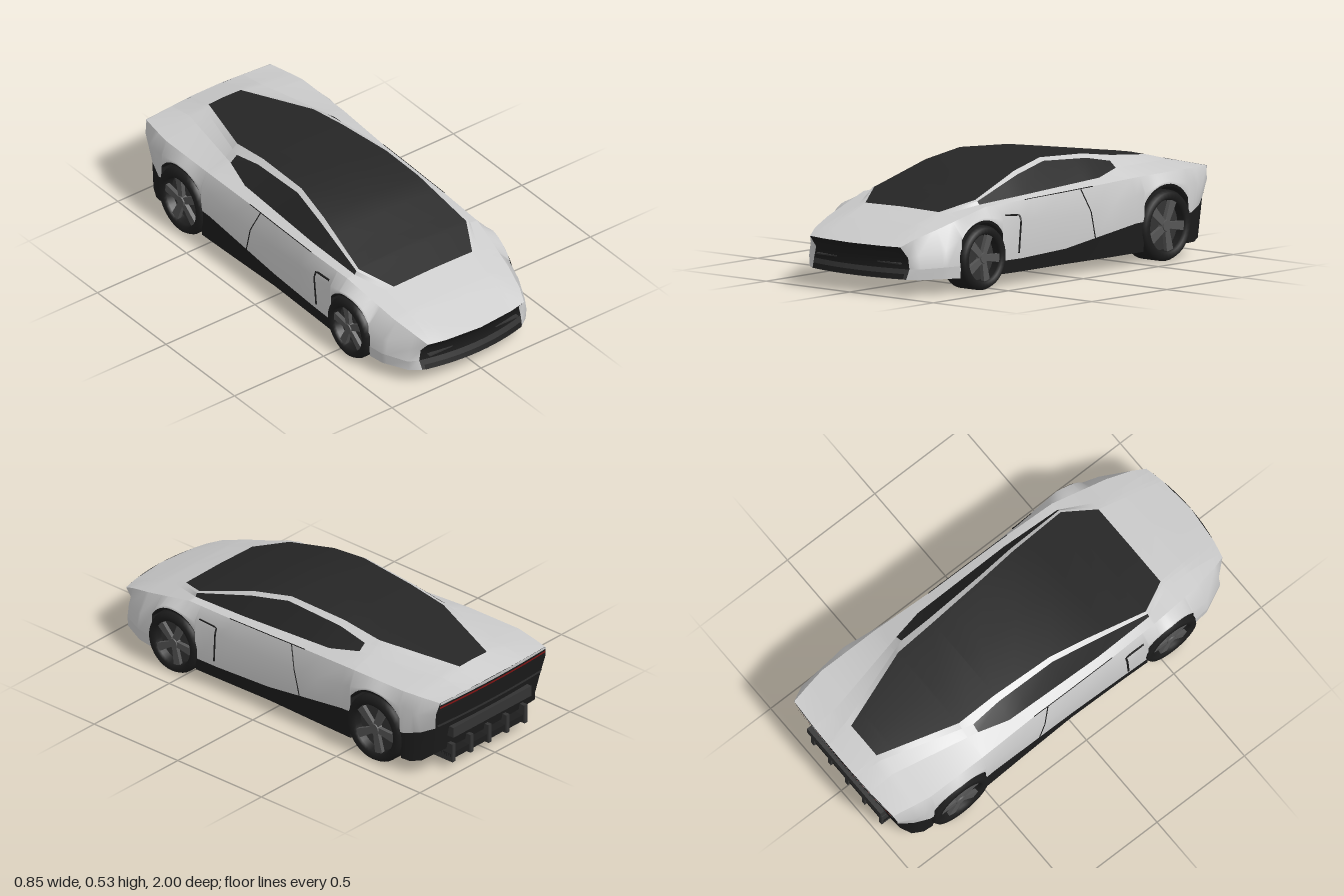
import * as THREE from 'three';
import { mergeGeometries } from 'three/addons/utils/BufferGeometryUtils.js';

const paint = (color) => new THREE.MeshStandardMaterial({ color, side: THREE.DoubleSide });
const BODY = paint(0xcccccc), GLASS = paint(0x262626), DARK = paint(0x1c1c1c), TRIM = paint(0x333333);
const RIM = paint(0x555555), RED = paint(0x8a1515);

// Long lines of the body: [z, x, y] from tail to nose
const LINES = {
  sill: [[-1, .33, .1], [-.85, .40, .065], [-.65, .415, .06], [-.3, .40, .055], [0, .39, .055], [.3, .395, .055], [.56, .405, .06], [.78, .385, .072], [1, .28, .075]],
  cladding: [[-1, .35, .25], [-.82, .41, .2], [-.65, .42, .2], [-.45, .41, .19], [0, .395, .125], [.3, .4, .115], [.56, .41, .12], [.78, .39, .125], [1, .285, .12]],
  flank: [[-1, .365, .33], [-.9, .405, .32], [-.65, .42, .355], [-.3, .405, .28], [0, .4, .27], [.3, .405, .285], [.56, .408, .325], [.78, .38, .2], [1, .275, .17]],
  shoulder: [[-1, .35, .388], [-.8, .385, .395], [-.5, .385, .393], [-.2, .375, .382], [.2, .375, .372], [.5, .365, .365], [.78, .325, .288], [1, .27, .223]],
  windowBase: [[-1, .2, .392], [-.87, .2, .413], [-.45, .29, .43], [-.3, .325, .405], [.2, .335, .385], [.5, .325, .37], [.65, .26, .337], [.8, .25, .292], [1, .25, .223]],
  windowTop: [[-1, .1, .393], [-.87, .12, .425], [-.45, .255, .458], [-.3, .25, .487], [0, .26, .507], [.2, .285, .47], [.5, .315, .385], [.65, .235, .341], [.8, .22, .295], [1, .2, .223]],
  glassEdge: [[-1, .09, .394], [-.87, .09, .426], [-.5, .215, .475], [-.3, .22, .504], [0, .238, .521], [.2, .265, .485], [.5, .302, .39], [.65, .22, .343], [.8, .2, .296], [1, .18, .223]],
  centre: [[-1, 0, .395], [-.87, 0, .429], [-.5, 0, .485], [-.3, 0, .515], [0, 0, .53], [.2, 0, .497], [.5, 0, .4], [.65, 0, .347], [.8, 0, .299], [1, 0, .223]],
};
const ARCHES = [{ z: .56, y: .145, r: .157 }, { z: -.65, y: .16, r: .176 }];
// Fore-and-aft shape of the nose by height: [y, z]
const NOSE = [[.075, .975], [.12, .96], [.17, .955], [.223, 1]];

function lerpTable(table, t) {
  let i = 1;
  while (i < table.length - 1 && t > table[i][0]) i++;
  const a = table[i - 1], b = table[i];
  const f = THREE.MathUtils.clamp((t - a[0]) / (b[0] - a[0]), 0, 1);
  return a.map((v, k) => v + (b[k] - v) * f);
}

// Rounded plan and raked profile of the two ends
function endZ(z, x, y) {
  if (z > .999) return lerpTable(NOSE, y)[1] - .5 * x * x;
  if (z < -.999) return -1 + (.395 - y) * .2 + .1 * x * x;
  return z;
}

// Half cross-section, from the floor centre up to the roof centre
function section(z) {
  const L = {};
  for (const k in LINES) L[k] = lerpTable(LINES[k], z).slice(1);
  const floor = L.sill[1];
  let inner = L.sill[0], lip = floor;
  for (const a of ARCHES) {
    const h = a.r ** 2 - (z - a.z) ** 2;
    if (h > 0 && a.y + Math.sqrt(h) > floor && Math.abs(z - a.z) < Math.sqrt(a.r ** 2 - (a.y - floor) ** 2)) {
      inner = .26;
      lip = a.y + Math.sqrt(h);
    }
  }
  L.cladding[1] = Math.max(L.cladding[1], lip + .012);
  L.flank[1] = Math.max(L.flank[1], L.cladding[1] + .01);
  const pts = [[0, floor], [inner, floor], [inner, lip], [L.sill[0], lip], L.cladding, L.flank,
    L.shoulder, L.windowBase, L.windowTop, L.glassEdge, L.centre];
  return pts.map(([x, y]) => new THREE.Vector3(x, y, endZ(z, x, y)));
}

function stations() {
  const zs = new Set();
  for (const k in LINES) LINES[k].forEach((p) => zs.add(p[0]));
  [.7, .9].forEach((z) => zs.add(z));
  for (const a of ARCHES) {
    const floor = lerpTable(LINES.sill, a.z)[2];
    const w = Math.sqrt(a.r ** 2 - (a.y - floor) ** 2);
    [-1.012, 1.012].forEach((s) => zs.add(a.z + s * w));
    for (let i = 0; i <= 18; i++) zs.add(a.z - Math.cos(i / 18 * Math.PI) * w * .99);
  }
  return [...zs].sort((a, b) => a - b);
}

// Surface through rows of points
function gridGeometry(rows) {
  const n = rows[0].length, index = [];
  for (let r = 0; r < rows.length - 1; r++) for (let c = 0; c < n - 1; c++) {
    const a = r * n + c, b = a + 1, d = a + n, e = d + 1;
    index.push(a, b, d, b, e, d);
  }
  const g = new THREE.BufferGeometry().setFromPoints(rows.flat());
  g.setIndex(index);
  g.computeVertexNormals();
  return g;
}

function wheel(radius, width) {
  const g = new THREE.Group(), h = width / 2, r = radius;
  const add = (geo, mat, name) => { const m = new THREE.Mesh(geo, mat); m.name = name; g.add(m); return m; };
  const profile = [[.72, -h], [.93, -h], [1, -h * .75], [1, h * .75], [.93, h], [.76, h], [.72, h * .8], [.7, h * .1]];
  add(new THREE.LatheGeometry(profile.map(([a, y]) => new THREE.Vector2(a * r, y)), 36), DARK, 'tyre');
  const disc = add(new THREE.CylinderGeometry(r * .72, r * .72, h * .5, 32), TRIM, 'brakeDisc');
  disc.position.y = h * .1;
  const hub = add(new THREE.CylinderGeometry(r * .16, r * .2, h * .35, 12), RIM, 'hub');
  hub.position.y = h * .75;
  // Five broad tapering spokes
  const s = new THREE.Shape([[.1, -.09], [.74, -.2], [.74, .07], [.1, .09]].map(([a, b]) => new THREE.Vector2(a * r, b * r)));
  for (let i = 0; i < 5; i++) {
    const geo = new THREE.ExtrudeGeometry(s, { depth: h * .25, bevelEnabled: false });
    geo.rotateX(-Math.PI / 2).rotateY(i * Math.PI * .4 + .3).translate(0, h * .6, 0);
    add(geo, RIM, 'spoke');
  }
  g.rotation.z = -Math.PI / 2;
  return g;
}

export function createModel() {
  const car = new THREE.Group();
  car.name = 'sportsCar';
  const add = (name, geo, mat) => { const m = new THREE.Mesh(geo, mat); m.name = name; car.add(m); return m; };
  const zs = stations(), secs = zs.map(section);
  const flip = (p) => new THREE.Vector3(-p.x, p.y, p.z);

  // Lengthwise strip between section points, on both sides
  function strip(name, from, to, z0, z1, mat) {
    const rows = secs.filter((_, i) => zs[i] >= z0 - 1e-6 && zs[i] <= z1 + 1e-6).map((s) => s.slice(from, to + 1));
    if (to === 10) add(name, gridGeometry(rows.map((r) => [...r, ...r.slice(0, -1).reverse().map(flip)])), mat);
    else add(name, mergeGeometries([gridGeometry(rows), gridGeometry(rows.map((r) => r.map(flip).reverse()))]), mat);
  }
  strip('floorPan', 0, 1, -1, 1, DARK);
  strip('wheelWellWall', 1, 2, -1, 1, DARK);
  strip('wheelWellRoof', 2, 3, -1, 1, DARK);
  strip('sideSkirt', 3, 4, -1, .7, DARK);
  strip('frontBumperSide', 3, 4, .7, 1, BODY);
  strip('sidePanel', 4, 6, -1, 1, BODY);
  strip('shoulder', 6, 7, -1, 1, BODY);
  strip('rearQuarter', 7, 8, -1, -.45, BODY);
  strip('sideWindow', 7, 8, -.45, .5, GLASS);
  strip('frontFenderTop', 7, 8, .5, 1, BODY);
  strip('roofRail', 8, 9, -1, 1, BODY);
  strip('rearDeck', 9, 10, -1, -.87, BODY);
  strip('rearWindow', 9, 10, -.87, -.3, GLASS);
  strip('windscreenAndRoof', 9, 10, -.3, .65, GLASS);
  strip('hood', 9, 10, .65, 1, BODY);

  // Panels running across the ends; rows are [half width, height]
  function endPanel(name, end, rows, mat, out = 0) {
    add(name, gridGeometry(rows.map(([w, y]) => Array.from({ length: 13 }, (_, i) => {
      const x = end * w * (i / 6 - 1);
      return new THREE.Vector3(x, y, endZ(end, x, y) + end * out);
    }))), mat);
  }
  endPanel('grille', 1, [[.285, .12], [.275, .17], [.27, .223]], DARK);
  endPanel('frontBumper', 1, [[.28, .075], [.285, .12]], TRIM);
  endPanel('frontSplitter', 1, [[.27, .078], [.27, .1]], DARK, .008);
  endPanel('tailPanel', -1, [[.33, .1], [.35, .25], [.365, .33], [.35, .388], [.09, .394]], DARK);
  endPanel('tailLip', -1, [[.353, .377], [.35, .389], [.09, .395]], BODY, .003);
  endPanel('tailLight', -1, [[.35, .358], [.352, .368]], RED, .004);
  endPanel('tailTrim', -1, [[.34, .255], [.35, .268]], TRIM, .006);
  const box = (name, w, h, d, x, y, z, mat) => add(name, new THREE.BoxGeometry(w, h, d), mat).position.set(x, y, z);
  box('grilleBar', .5, .006, .02, 0, .145, .94, TRIM);
  box('rearBumper', .52, .05, .06, 0, .2, -.955, TRIM);
  box('diffuser', .5, .03, .2, 0, .065, -.86, DARK);
  for (const x of [-.24, -.12, 0, .12, .24]) box('diffuserFin', .02, .09, .14, x, .085, -.9, TRIM);

  // Panel gaps and vents that follow the side surface
  const onSide = ([z, i]) => {
    const s = section(z), k = Math.floor(i);
    return s[k].clone().lerp(s[Math.min(k + 1, 10)], i - k);
  };
  function seam(name, marks, radius) {
    for (const side of [1, -1]) {
      const path = new THREE.CurvePath(), pts = marks.map(onSide);
      if (side < 0) pts.forEach((p) => { p.x *= -1; });
      for (let i = 1; i < pts.length; i++) path.add(new THREE.LineCurve3(pts[i - 1], pts[i]));
      add(name, new THREE.TubeGeometry(path, 16, radius, 5), DARK);
    }
  }
  seam('doorGap', [[-.12, 6], [-.16, 5], [-.19, 4]], .003);
  seam('fenderVent', [[.41, 5.25], [.31, 5.3], [.31, 5], [.32, 4.15]], .005);
  seam('beltGap', [[.25, 6], [0, 6], [-.2, 6]], .002);

  // Wheels
  for (const [name, r, z, x, w] of [['frontWheel', .145, .56, .345, .145], ['rearWheel', .16, -.65, .35, .15]]) {
    for (const side of [1, -1]) {
      const g = wheel(r, w);
      g.name = name;
      g.rotation.z *= side;
      g.position.set(side * x, r, z);
      car.add(g);
    }
  }
  return car;
}
